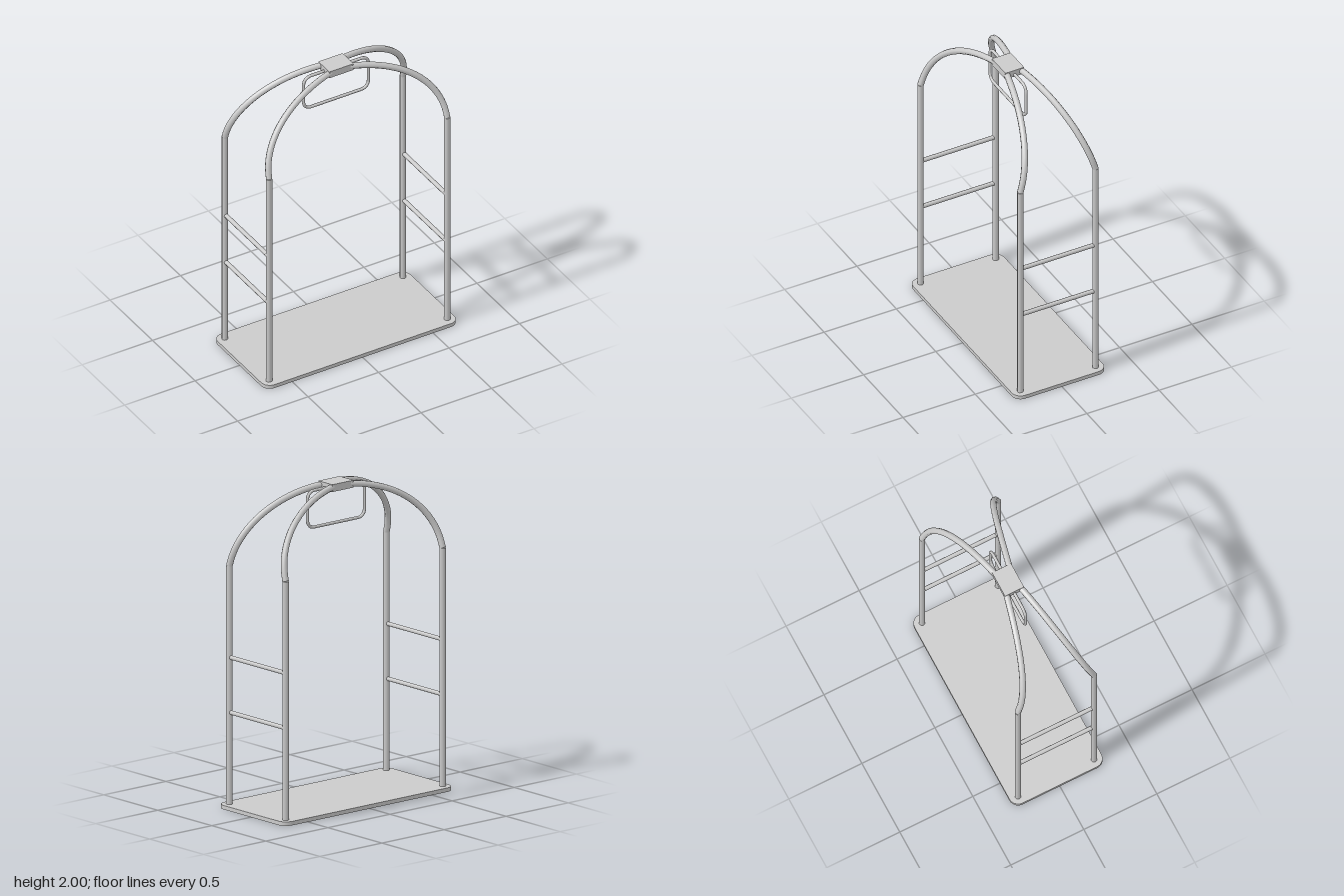
import * as THREE from 'three';

const material = new THREE.MeshStandardMaterial({ color: 0xcccccc });

function roundedRect(w, h, r) {
  const s = new THREE.Shape(), x = w / 2, y = h / 2;
  s.moveTo(x, -y + r);
  s.absarc(x - r, y - r, r, 0, Math.PI / 2);
  s.absarc(-x + r, y - r, r, Math.PI / 2, Math.PI);
  s.absarc(-x + r, -y + r, r, Math.PI, Math.PI * 1.5);
  s.absarc(x - r, -y + r, r, Math.PI * 1.5, Math.PI * 2);
  return s;
}

export function createModel() {
  const group = new THREE.Group();
  const add = (name, geometry, x = 0, y = 0, z = 0) => {
    const mesh = new THREE.Mesh(geometry, material);
    mesh.name = name;
    mesh.position.set(x, y, z);
    group.add(mesh);
    return mesh;
  };

  const postX = 0.632, postZ = 0.26, postTop = 1.52, radius = 0.02;

  // Flat platform with rounded corners
  const platform = new THREE.ExtrudeGeometry(roundedRect(1.37, 0.63, 0.06), {
    depth: 0.025, bevelEnabled: false, curveSegments: 8,
  });
  platform.rotateX(-Math.PI / 2);
  add('platform', platform);

  // Four upright posts
  const post = new THREE.CylinderGeometry(radius, radius, postTop - 0.02, 8);
  for (const sx of [-1, 1]) for (const sz of [-1, 1]) {
    add('post', post, sx * postX, (postTop + 0.02) / 2, sz * postZ);
  }

  // Two arches that bow in towards each other at the top
  for (const sz of [-1, 1]) {
    const points = [];
    for (let i = 0; i <= 24; i++) {
      const t = (i / 24) * Math.PI;
      const rise = Math.min(t, Math.PI - t) / (Math.PI / 2);
      points.push(new THREE.Vector3(
        postX * Math.cos(t),
        postTop + 0.458 * Math.pow(Math.sin(t), 0.97),
        sz * (postZ - 0.228 * rise),
      ));
    }
    const curve = new THREE.CatmullRomCurve3(points);
    add(sz > 0 ? 'frontArch' : 'backArch', new THREE.TubeGeometry(curve, 48, radius, 8));
  }

  // Clamp joining the arches
  add('archClamp', new THREE.BoxGeometry(0.172, 0.046, 0.13), 0, 1.974, 0);

  // Cross rungs on both ends
  const rung = new THREE.CylinderGeometry(0.014, 0.014, 2 * postZ, 8);
  rung.rotateX(Math.PI / 2);
  for (const sx of [-1, 1]) for (const y of [0.6, 0.945]) add('rung', rung, sx * postX, y, 0);

  // Closed hanging loop under the clamp
  const loopPoints = roundedRect(0.46, 0.23, 0.05).getPoints(6)
    .map((p) => new THREE.Vector3(p.x, p.y, 0));
  const path = new THREE.CurvePath();
  loopPoints.forEach((p, i) => {
    const next = loopPoints[(i + 1) % loopPoints.length];
    if (p.distanceTo(next) > 1e-5) path.add(new THREE.LineCurve3(p, next));
  });
  add('hangingLoop', new THREE.TubeGeometry(path, 120, 0.01, 8, true), 0, 1.85, 0);

  return group;
}
